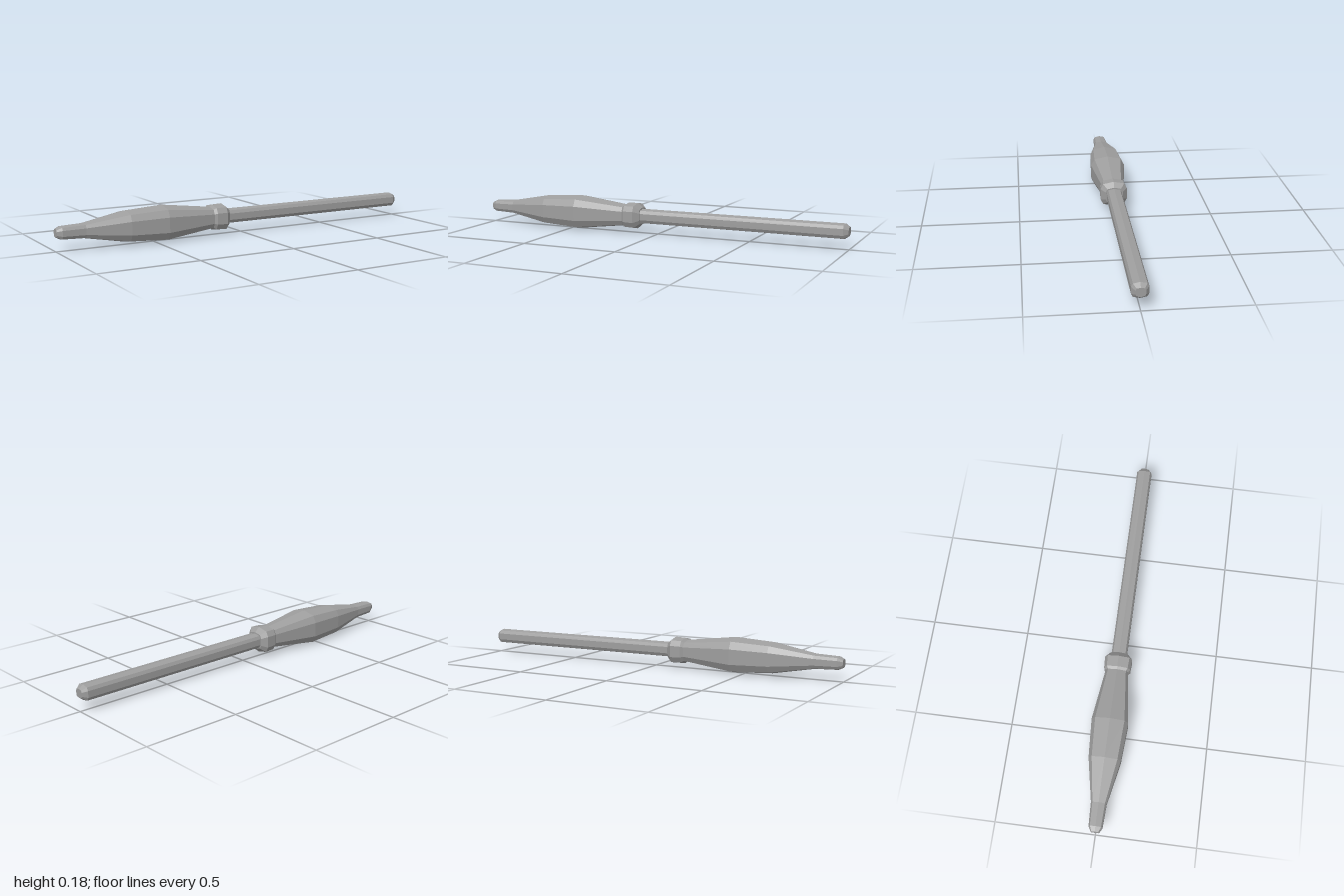
import * as THREE from 'three';

const CENTER_Y = 0.089;
// Ten-sided cross-section [z, y], counter-clockwise seen from +x
const SECTION = [
  [0, 0.089], [0.073, 0.074], [0.092, 0.038], [0.092, -0.038], [0.073, -0.074],
  [0, -0.089], [-0.073, -0.074], [-0.092, -0.038], [-0.092, 0.038], [-0.073, 0.074],
];

// Lofts the cross-section along x; stations are [x, scale], capped at both ends
function loft(stations) {
  const n = SECTION.length;
  const pos = [];
  const point = (i, j) => {
    const [x, s] = stations[i];
    const [z, y] = SECTION[j % n];
    return [x, CENTER_Y + y * s, z * s];
  };
  const tri = (a, b, c) => pos.push(...a, ...b, ...c);
  const last = stations.length - 1;
  for (let j = 0; j < n; j++) {
    for (let i = 0; i < last; i++) {
      const a = point(i, j), b = point(i, j + 1), c = point(i + 1, j + 1), d = point(i + 1, j);
      tri(a, b, c);
      tri(a, c, d);
    }
    tri([stations[0][0], CENTER_Y, 0], point(0, j + 1), point(0, j));
    tri([stations[last][0], CENTER_Y, 0], point(last, j), point(last, j + 1));
  }
  const geo = new THREE.BufferGeometry();
  geo.setAttribute('position', new THREE.Float32BufferAttribute(pos, 3));
  geo.computeVertexNormals();
  return geo;
}

export function createModel() {
  const group = new THREE.Group();
  const grey = new THREE.MeshStandardMaterial({ color: 0x9e9e9e });
  grey.name = 'grey metal';
  grey.flatShading = true;

  const parts = {
    // Swollen body tapering to a blunt narrow tip
    head: [[-1, 0.23], [-0.975, 0.37], [-0.86, 0.42], [-0.645, 0.87], [-0.45, 1], [-0.18, 0.62]],
    // Chamfered ring behind the body
    collar: [[-0.185, 0.61], [-0.17, 0.73], [-0.115, 0.76], [-0.088, 0.5]],
    // Long straight shaft with a bevelled end
    shaft: [[-0.12, 0.43], [0.977, 0.43], [1, 0.25]],
  };
  for (const [name, stations] of Object.entries(parts)) {
    const mesh = new THREE.Mesh(loft(stations), grey);
    mesh.name = name;
    group.add(mesh);
  }
  return group;
}
